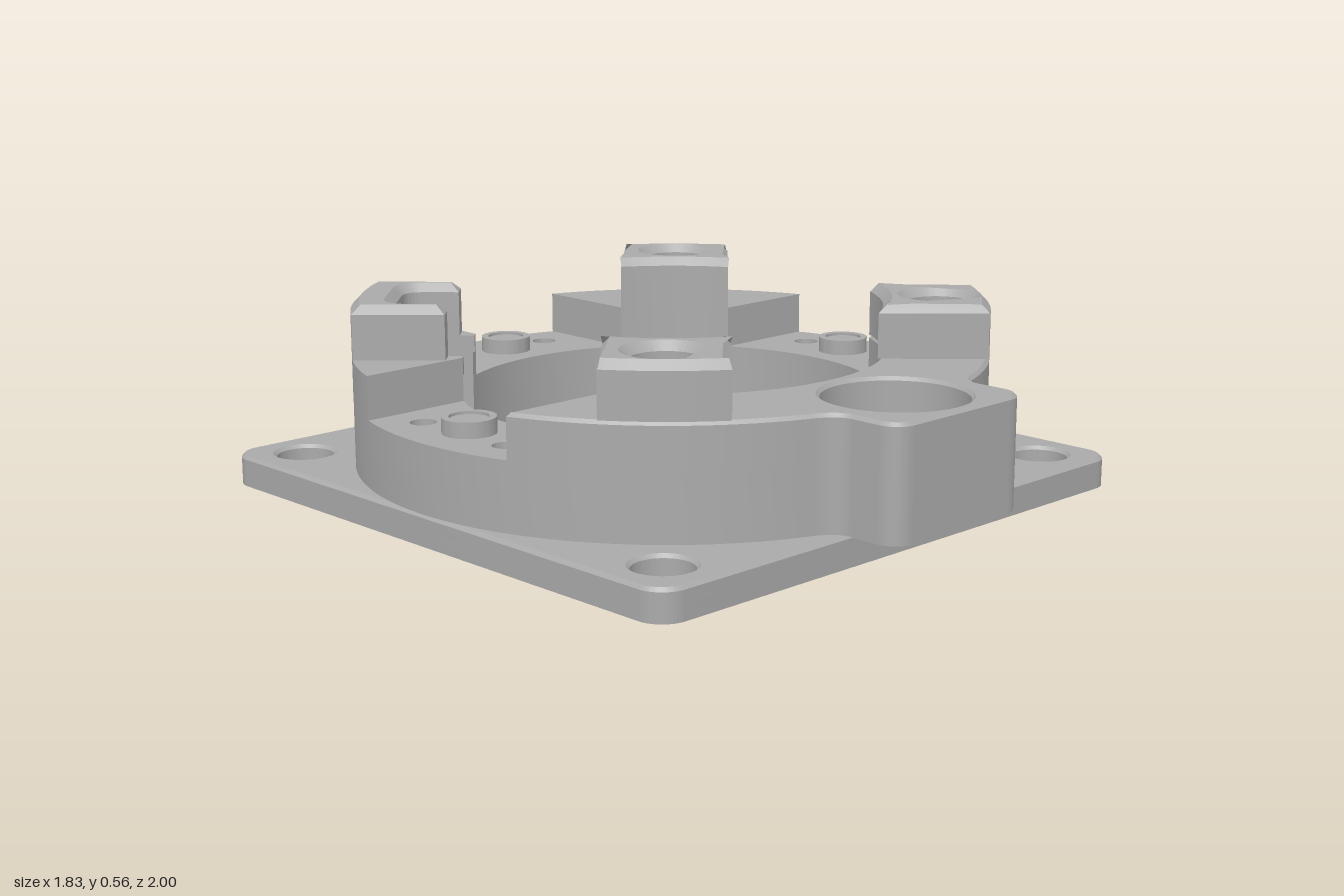
import * as THREE from 'three';
import { toCreasedNormals } from 'three/addons/utils/BufferGeometryUtils.js';

const R = 0.915, r = 0.61;          // ring radii
const CUT = 0.295;                  // where the raised tiers start
const PI = Math.PI;
const FLOOR = 0.09, LOW = 0.285, TIER = 0.41, TOP = 0.565;
const BOLT = 0.773;                 // radius of the diagonal bolt circle
const LEFT_BACK = PI * 1.25;        // direction of the open bracket
const POCKET = 0.145, WALL = 0.79;  // half width and depth of its pocket

// Point in a frame turned to direction m: a outwards, p sideways
const at = (m, a, p) => [a * Math.cos(m) - p * Math.sin(m), a * Math.sin(m) + p * Math.cos(m)];

const circle = (x, z, rad) => new THREE.Path().absarc(x, z, rad, 0, PI * 2, false);
const diagonal = (m, rad) => circle(...at(m, BOLT, 0), rad);

// Horizontal slab from a plan (shape y = z) with a flat base and chamfered top
function slab(shape, y0, y1, bevel = 0) {
  const g = new THREE.ExtrudeGeometry(shape, {
    depth: y1 - y0 - bevel, curveSegments: 48, bevelEnabled: bevel > 0, bevelSegments: 1,
    bevelSize: bevel, bevelThickness: bevel, bevelOffset: -bevel,
  });
  g.rotateX(PI / 2).translate(0, y1 - bevel, 0);
  const p = g.attributes.position;
  for (let i = 0; i < p.count; i++) p.setY(i, Math.max(p.getY(i), y0));
  return toCreasedNormals(g, 0.4);
}

// Edge of the front boss, from the ring on the +x side to the -x side
function bossEdge(s) {
  s.quadraticCurveTo(0.26, 0.88, 0.26, 0.93);
  s.lineTo(0.26, 1.01);
  s.quadraticCurveTo(0.26, 1.08, 0.19, 1.08);
  s.lineTo(-0.19, 1.08);
  s.quadraticCurveTo(-0.26, 1.08, -0.26, 1.01);
  s.lineTo(-0.26, 0.93);
  s.quadraticCurveTo(-0.26, 0.88, -0.33, 0.853);
}
const BOSS = Math.acos(0.33 / R);

// Edge of the bracket pocket, running from side -s to side s
function pocketEdge(path, m, s, inner) {
  const c = 0.06;
  path.lineTo(...at(m, inner, -s * POCKET));
  path.lineTo(...at(m, WALL - c, -s * POCKET));
  path.quadraticCurveTo(...at(m, WALL, -s * POCKET), ...at(m, WALL, -s * (POCKET - c)));
  path.lineTo(...at(m, WALL, s * (POCKET - c)));
  path.quadraticCurveTo(...at(m, WALL, s * POCKET), ...at(m, WALL - c, s * POCKET));
  path.lineTo(...at(m, inner, s * POCKET));
}

function ringShape() {
  const s = new THREE.Shape();
  s.absarc(0, 0, R, PI - BOSS, 2 * PI + BOSS, false);
  bossEdge(s);
  const h = Math.asin(POCKET / r), bore = new THREE.Path();
  bore.absarc(0, 0, r, LEFT_BACK + h, LEFT_BACK - h + 2 * PI, false);
  pocketEdge(bore, LEFT_BACK, 1, r * Math.cos(h));
  s.holes.push(bore, circle(0, 0.85, 0.19));
  for (const k of [1, 3, 7]) s.holes.push(diagonal(k * PI / 4, 0.043));
  for (const e of [-1, 1]) {
    s.holes.push(circle(e * 0.175, -0.77, 0.037));
    for (const f of [-1, 1]) s.holes.push(circle(e * 0.77, f * 0.175, 0.037));
  }
  return s;
}

const OUT = Math.asin(CUT / R), IN = Math.asin(CUT / r);
function frontTier() {
  const s = new THREE.Shape();
  s.absarc(0, 0, R, OUT, BOSS, false);
  bossEdge(s);
  s.absarc(0, 0, R, PI - BOSS, PI - OUT, false);
  s.absarc(0, 0, r, PI - IN, IN, true);
  s.holes.push(circle(0, 0.85, 0.2), diagonal(PI / 4, 0.043), diagonal(PI * 0.75, 0.043));
  return s;
}

// Back tier around direction m, optionally with the pocket
function backTier(m, pocket) {
  const s = new THREE.Shape(), o = PI / 4 - OUT, i = PI / 4 - IN;
  s.absarc(0, 0, R, m - o, m + o, false);
  if (pocket) {
    const h = Math.asin(POCKET / r);
    s.absarc(0, 0, r, m + i, m + h, true);
    pocketEdge(s, m, -1, r * Math.cos(h));
    s.absarc(0, 0, r, m - h, m - i, true);
  } else {
    s.absarc(0, 0, r, m + i, m - i, true);
    s.holes.push(diagonal(m, 0.043));
  }
  return s;
}

// Closed block with a counterbore
function blockShape(m, h) {
  const s = new THREE.Shape(), o = Math.asin(h / R), i = Math.asin(h / r);
  s.absarc(0, 0, R, m - o, m + o, false);
  s.absarc(0, 0, r, m + i, m - i, true);
  s.holes.push(diagonal(m, 0.095));
  return s;
}

// Open bracket top
function bracketShape(m, h, inner) {
  const s = new THREE.Shape(), o = Math.asin(h / R);
  s.absarc(0, 0, R, m - o, m + o, false);
  s.lineTo(...at(m, inner, h));
  pocketEdge(s, m, -1, inner);
  s.lineTo(...at(m, inner, -h));
  return s;
}

// One cheek beside the bracket window, side e
function cheekShape(m, e, outer, inner, outerHalf, innerHalf) {
  const w = 0.125, s = new THREE.Shape();
  const a0 = m + e * Math.asin(w / R), a1 = m + e * Math.asin(outerHalf / R);
  s.absarc(0, 0, outer, a0, a1, e < 0);
  s.lineTo(...at(m, inner, e * innerHalf));
  s.lineTo(...at(m, inner, e * POCKET));
  s.lineTo(...at(m, WALL - 0.03, e * POCKET));
  s.lineTo(...at(m, WALL, e * w));
  return s;
}

function plateShape(pockets) {
  const a = 0.915, c = 0.08, s = new THREE.Shape();
  s.absarc(a - c, a - c, c, 0, PI / 2, false);
  s.absarc(c - a, a - c, c, PI / 2, PI, false);
  s.absarc(c - a, c - a, c, PI, PI * 1.5, false);
  s.absarc(a - c, c - a, c, PI * 1.5, PI * 2, false);
  s.holes.push(circle(0, 0, 0.045));
  for (let k = 0; k < 4; k++) {
    const m = PI / 4 + k * PI / 2;
    for (const [d, rad] of [[0.29, 0.04], [BOLT, 0.043], [1.075, 0.083]]) s.holes.push(circle(...at(m, d, 0), rad));
    if (pockets) {
      for (const e of [-1, 1]) s.holes.push(circle(...at(m, 0.69, e * 0.2), 0.083));
      if (k !== 0) s.holes.push(circle(...at(m + PI / 4, 0.75, 0), 0.083));
    }
  }
  return s;
}

export function createModel() {
  const model = new THREE.Group();
  model.name = 'mountingFixture';
  const grey = new THREE.MeshStandardMaterial({ color: 0xaaaaaa });
  grey.name = 'grey';
  const add = (name, shape, y0, y1, bevel) => {
    const mesh = new THREE.Mesh(slab(shape, y0, y1, bevel), grey);
    mesh.name = name;
    mesh.position.z = -0.085;
    model.add(mesh);
  };

  // Base plate with blind pockets underneath
  add('plateBottom', plateShape(true), 0, 0.045);
  add('plateTop', plateShape(false), 0.045, FLOOR, 0.01);

  // Ring, raised tiers and the round socket in the front boss
  add('ring', ringShape(), FLOOR, LOW);
  add('frontTier', frontTier(), LOW, TIER, 0.01);
  add('backRightTier', backTier(PI * 1.75, false), LOW, TIER);
  add('socketFloor', new THREE.Shape().absarc(0, 0.85, 0.195, 0, 2 * PI, false), FLOOR, 0.12);

  // Counterbored corner blocks
  for (const k of [1, 3, 7]) add('cornerBlock', blockShape(k * PI / 4, 0.169), TIER, TOP, 0.025);

  // Open bracket with a window through its outer wall
  const m = LEFT_BACK, sill = 0.36, lintel = 0.48;
  add('bracketTier', backTier(m, true), LOW, sill);
  for (const e of [-1, 1]) {
    add('bracketTierSide', cheekShape(m, e, R, r * Math.cos(PI / 4 - IN), R * Math.sin(PI / 4 - OUT), r * Math.sin(PI / 4 - IN)), sill, TIER);
    add('bracketCheek', cheekShape(m, e, R, 0.63, 0.205, 0.205), TIER, lintel);
  }
  add('bracketTop', bracketShape(m, 0.205, 0.63), lintel, TOP, 0.025);

  // Locating pins on the low parts of the ring
  for (const a of [0, PI, PI * 1.5]) {
    const [x, z] = at(a, 0.75, 0);
    const rim = new THREE.Shape().absarc(x, z, 0.075, 0, 2 * PI, false);
    rim.holes.push(circle(x, z, 0.055));
    add('pinRim', rim, LOW, 0.33);
    add('pinCore', new THREE.Shape().absarc(x, z, 0.055, 0, 2 * PI, false), LOW, 0.322);
  }
  return model;
}
